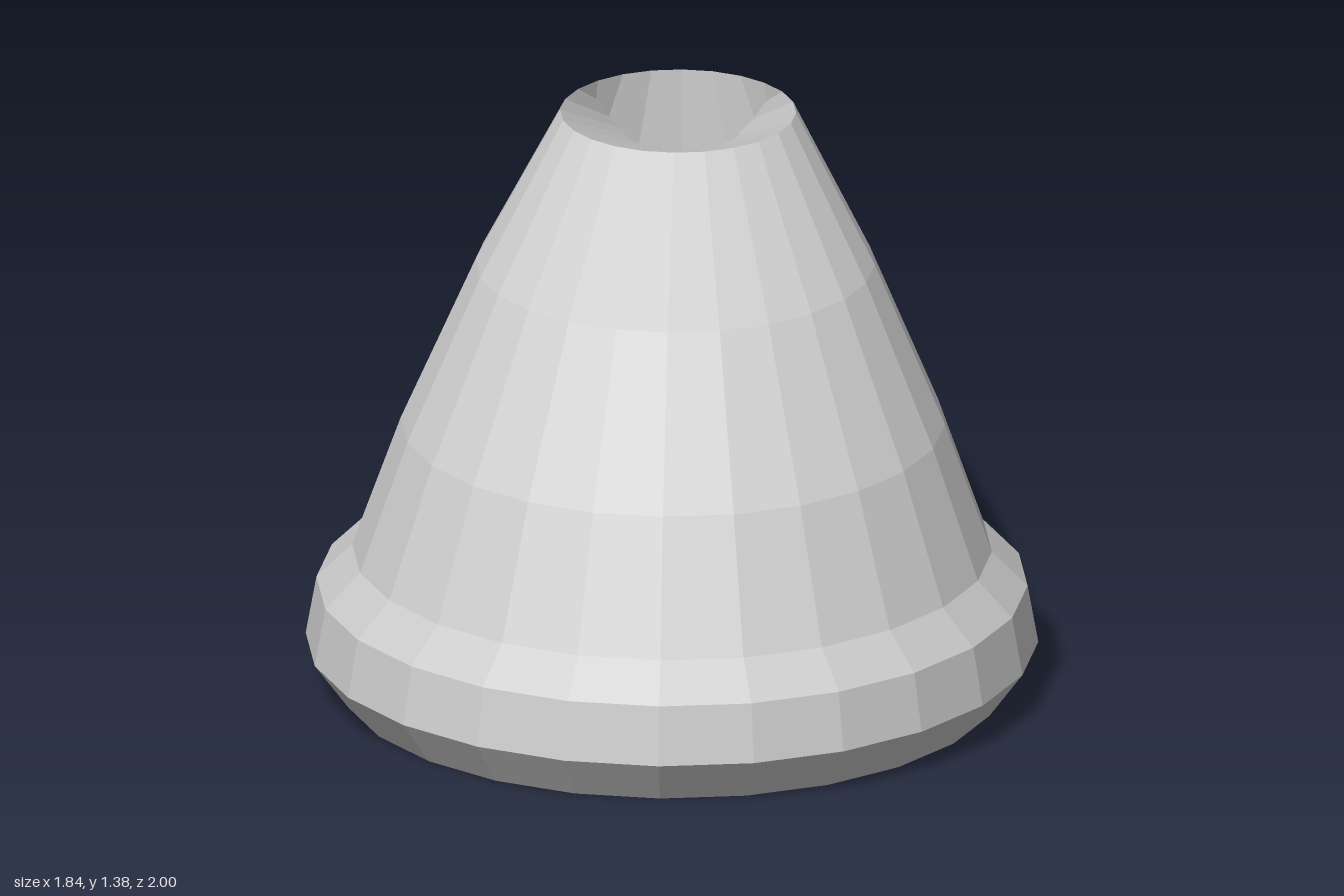
import * as THREE from 'three';

const SIDES = 24;

// Skin between horizontal rings given as [y, radius, centreZ]
function loft(rings) {
  const pos = [], index = [];
  for (const [y, r, cz] of rings) {
    for (let i = 0; i < SIDES; i++) {
      const a = (i / SIDES) * Math.PI * 2;
      pos.push(Math.sin(a) * r, y, cz + Math.cos(a) * r);
    }
  }
  for (let k = 0; k < rings.length - 1; k++) {
    for (let i = 0; i < SIDES; i++) {
      const j = (i + 1) % SIDES;
      const a = k * SIDES + i, b = k * SIDES + j;
      const c = a + SIDES, d = b + SIDES;
      index.push(a, b, d, a, d, c);
    }
  }
  const g = new THREE.BufferGeometry();
  g.setAttribute('position', new THREE.Float32BufferAttribute(pos, 3));
  g.setIndex(index);
  g.computeVertexNormals();
  return g;
}

export function createModel() {
  const group = new THREE.Group();
  const grey = new THREE.MeshStandardMaterial({ color: 0xcccccc, flatShading: true, side: THREE.DoubleSide });
  grey.name = 'grey';

  const add = (name, rings) => {
    const mesh = new THREE.Mesh(loft(rings), grey);
    mesh.name = name;
    group.add(mesh);
  };

  const rim = [1.375, 0.297, -0.345];
  const neck = [1.227, 0.15, -0.61];

  // Flat underside and rolled brim
  add('underside', [[0, 0, 0.075], [0, 0.835, 0.075]]);
  add('brim', [
    [0, 0.835, 0.075],
    [0.12, 0.922, 0.077],
    [0.27, 0.895, 0.075],
    [0.36, 0.805, 0.075],
  ]);

  // Cone leaning towards the back
  add('cone', [
    [0.36, 0.805, 0.075],
    [0.68, 0.685, 0.02],
    [1.05, 0.503, -0.13],
    rim,
  ]);

  // Tip folded over the back edge, then the bobble hanging from it
  add('foldedTip', [rim, neck]);
  add('bobble', [
    neck,
    [1.137, 0.235, -0.735],
    [0.985, 0.19, -0.81],
    [0.9, 0, -0.82],
  ]);

  return group;
}
